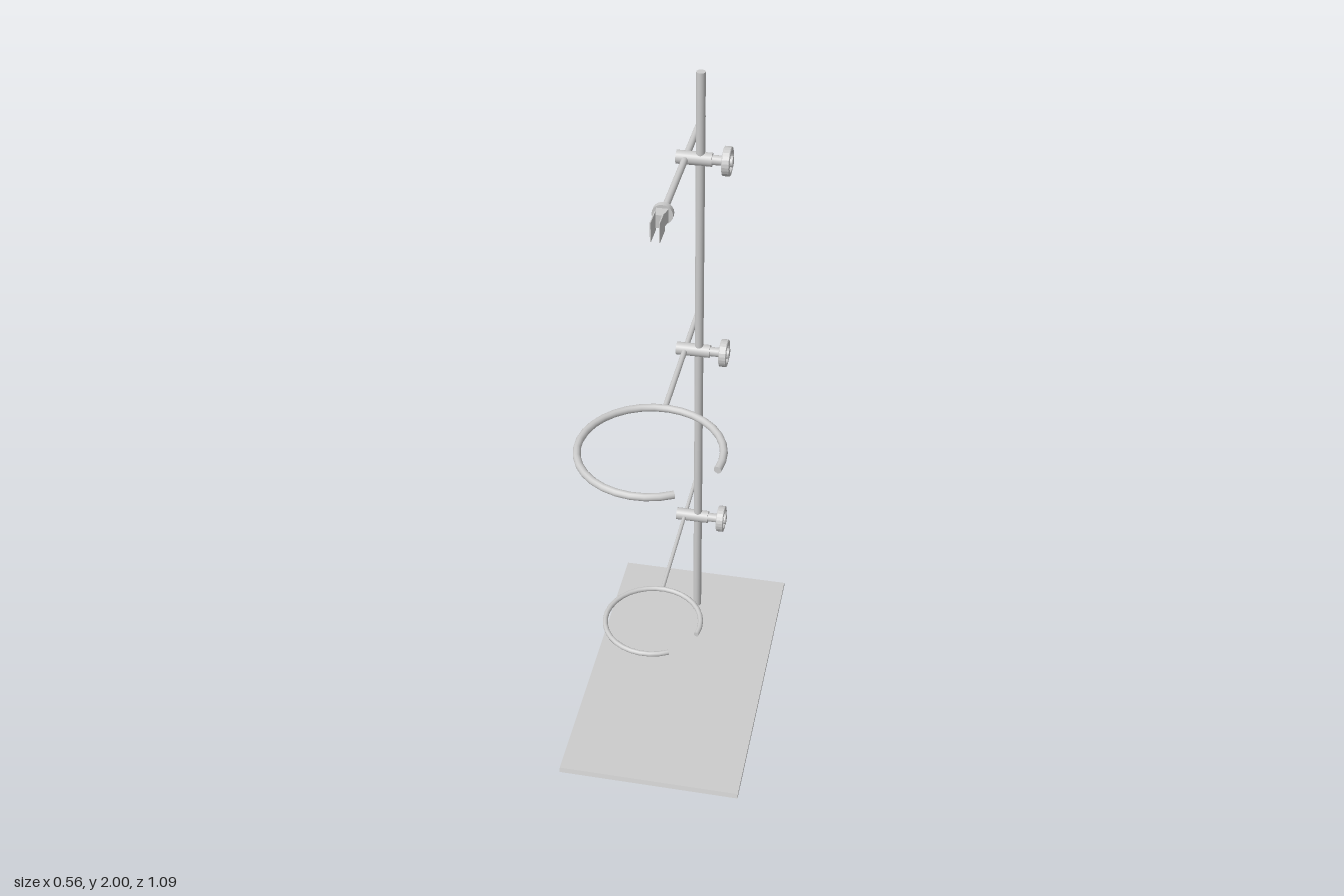
import * as THREE from 'three';

const material = new THREE.MeshStandardMaterial({ color: 0xcccccc, side: THREE.DoubleSide });
const flatMaterial = new THREE.MeshStandardMaterial({ color: 0xcccccc, side: THREE.DoubleSide, flatShading: true });

const POLE_Z = -0.28;
const ARM_X = -0.043;
const ARM_BACK = -0.545;

function add(parent, name, geometry, x = 0, y = 0, z = 0, mat = material) {
  const mesh = new THREE.Mesh(geometry, mat);
  mesh.name = name;
  mesh.position.set(x, y, z);
  parent.add(mesh);
  return mesh;
}

// Cylinder lying along x, from x0 to x1
function barX(parent, name, radius, x0, x1) {
  const geo = new THREE.CylinderGeometry(radius, radius, x1 - x0, 24).rotateZ(-Math.PI / 2);
  return add(parent, name, geo, (x0 + x1) / 2);
}

// Cylinder lying along z, from z0 to z1
function barZ(parent, name, radius, z0, z1) {
  const geo = new THREE.CylinderGeometry(radius, radius, z1 - z0, 20).rotateX(Math.PI / 2);
  return add(parent, name, geo, ARM_X, 0, (z0 + z1) / 2);
}

// Boss head that grips the pole, with its tightening knob
function makeClamp() {
  const clamp = new THREE.Group();
  clamp.name = 'clamp';
  clamp.position.z = POLE_Z;
  barX(clamp, 'clampBody', 0.02, -0.07, 0.035);
  barX(clamp, 'clampScrew', 0.0145, 0.035, 0.07);
  const profile = [[0, 0.067], [0.041, 0.067], [0.043, 0.069], [0.043, 0.088], [0.041, 0.09],
    [0.031, 0.09], [0.029, 0.084], [0.016, 0.084], [0.016, 0.095], [0, 0.095]]
    .map(([r, h]) => new THREE.Vector2(r, h));
  add(clamp, 'knob', new THREE.LatheGeometry(profile, 24).rotateZ(-Math.PI / 2), 0, 0, 0, flatMaterial);
  return clamp;
}

// Open ring in a horizontal plane, gap facing front left
function makeRing(radius, tube) {
  const start = THREE.MathUtils.degToRad(60);
  const sweep = THREE.MathUtils.degToRad(314);
  const ring = new THREE.Group();
  ring.name = 'openRing';
  add(ring, 'ringBar', new THREE.TorusGeometry(radius, tube, 12, 28, sweep).rotateZ(start).rotateX(Math.PI / 2));
  for (const angle of [start, start + sweep]) {
    const cap = add(ring, 'ringEnd', new THREE.CircleGeometry(tube, 12),
      radius * Math.cos(angle), 0, radius * Math.sin(angle));
    cap.rotation.y = -angle;
  }
  return ring;
}

// Arm with its clamp at a given height, reaching forward to z = front
function makeArm(name, y, radius, front) {
  const arm = new THREE.Group();
  arm.name = name;
  arm.position.y = y;
  arm.add(makeClamp());
  barZ(arm, 'armRod', radius, ARM_BACK, front);
  return arm;
}

// Gripper: collar, tapered neck and two thin jaws
function makeGripper() {
  const gripper = new THREE.Group();
  gripper.name = 'gripper';
  barZ(gripper, 'collar', 0.03, 0.037, 0.055);
  const neck = new THREE.BoxGeometry(0.036, 0.04, 0.042);
  const p = neck.attributes.position;
  for (let i = 0; i < p.count; i++) if (p.getZ(i) > 0) p.setX(i, p.getX(i) * 0.6);
  neck.computeVertexNormals();
  add(gripper, 'neck', neck, ARM_X, 0, 0.073, flatMaterial);
  for (const side of [-1, 1]) {
    add(gripper, 'jaw', new THREE.BoxGeometry(0.003, 0.06, 0.064), ARM_X + side * 0.0125, 0, 0.122);
  }
  return gripper;
}

export function createModel() {
  const stand = new THREE.Group();
  stand.name = 'laboratoryStand';

  // Base plate, top face slightly narrower front to back
  const plate = new THREE.BoxGeometry(0.56, 0.014, 0.99);
  const p = plate.attributes.position;
  for (let i = 0; i < p.count; i++) if (p.getY(i) > 0) p.setZ(i, p.getZ(i) * 0.99);
  add(stand, 'basePlate', plate, 0, 0.007, 0.05, flatMaterial);

  // Upright pole
  add(stand, 'pole', new THREE.CylinderGeometry(0.0135, 0.0135, 1.99, 24), 0, 1.005, POLE_Z);

  // Upper arm with gripper
  const upper = makeArm('gripperArm', 1.73, 0.01, 0.045);
  upper.add(makeGripper());
  stand.add(upper);

  // Two ring arms
  for (const [name, y, rod, radius, tube, z] of [
    ['largeRingArm', 1.068, 0.0085, 0.21, 0.0115, 0.248],
    ['smallRingArm', 0.405, 0.006, 0.147, 0.008, 0.243],
  ]) {
    const arm = makeArm(name, y, rod, z - radius);
    const ring = makeRing(radius, tube);
    ring.position.set(ARM_X, 0, z);
    arm.add(ring);
    stand.add(arm);
  }
  return stand;
}
